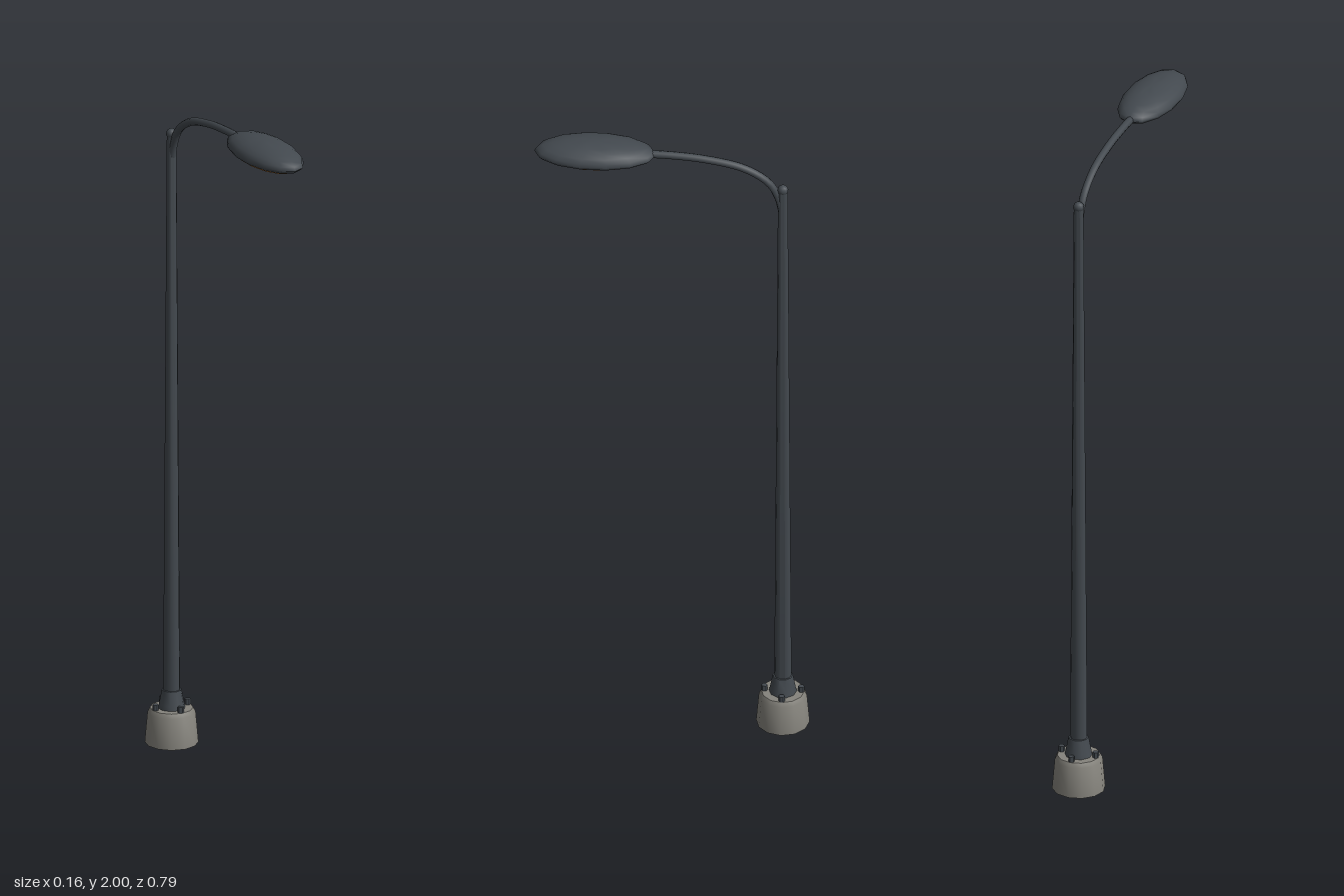
import * as THREE from 'three';
import { toCreasedNormals } from 'three/addons/utils/BufferGeometryUtils.js';

const POLE_Z = -0.32;
const HEAD_Z = 0.219;

const mat = (color) => new THREE.MeshStandardMaterial({ color });
const metal = mat(0x43494f);
const concrete = mat(0x85837c);
const amber = mat(0xb87a35);

// Revolve an [radius, height] profile, listed from bottom to top.
function turned(profile, sides, crease = 0.7) {
  const points = profile.map(([r, y]) => new THREE.Vector2(r, y));
  return toCreasedNormals(new THREE.LatheGeometry(points, sides), crease);
}

export function createModel() {
  const model = new THREE.Group();
  const add = (name, geometry, material, x = 0, y = 0, z = POLE_Z) => {
    const mesh = new THREE.Mesh(geometry, material);
    mesh.name = name;
    mesh.position.set(x, y, z);
    model.add(mesh);
    return mesh;
  };

  // Concrete footing with a bevelled top edge
  add('footing', turned([[0, 0], [0.077, 0], [0.069, 0.092], [0.062, 0.105], [0, 0.105]], 12), concrete);

  // Flared collar at the foot of the pole
  add('collar', turned([[0, 0.104], [0.04, 0.104], [0.037, 0.118], [0.029, 0.16], [0, 0.163]], 10), metal);

  // Four anchor bolts
  for (let i = 0; i < 4; i++) {
    const a = (i * Math.PI) / 2;
    add('anchorBolt', toCreasedNormals(new THREE.CylinderGeometry(0.009, 0.009, 0.018, 6), 0.5), metal,
      0.053 * Math.cos(a), 0.113, POLE_Z + 0.053 * Math.sin(a));
  }

  // Tapered pole and its rounded cap
  add('pole', turned([[0, 0.12], [0.025, 0.12], [0.014, 1.85], [0, 1.85]], 10), metal);
  add('poleCap', new THREE.SphereGeometry(0.016, 10, 8), metal, 0, 1.85);

  // Arm sweeping from the pole up and forward to the lamp head
  const path = new THREE.CatmullRomCurve3([
    [1.77, -0.319], [1.82, -0.308], [1.873, -0.28], [1.92, -0.21], [1.947, -0.1], [1.957, 0], [1.959, 0.09],
  ].map(([y, z]) => new THREE.Vector3(0, y, z)));
  add('arm', new THREE.TubeGeometry(path, 24, 0.0115, 8), metal, 0, 0, 0);

  // Lamp head: a shallow oval dome with a flat underside
  const dome = [[0, 1.947], [0.076, 1.947], [0.081, 1.956]];
  for (let i = 1; i <= 6; i++) {
    const a = (i * Math.PI) / 12;
    dome.push([i === 6 ? 0 : 0.081 * Math.cos(a), 1.956 + 0.044 * Math.sin(a)]);
  }
  add('lampHead', turned(dome, 14, 0.8), metal, 0, 0, HEAD_Z).scale.z = 0.175 / 0.081;

  // Amber lens set under the head
  add('lens', turned([[0, 1.938], [0.064, 1.938], [0.067, 1.948], [0, 1.948]], 14), amber, 0, 0, HEAD_Z)
    .scale.z = 0.175 / 0.081;

  return model;
}
